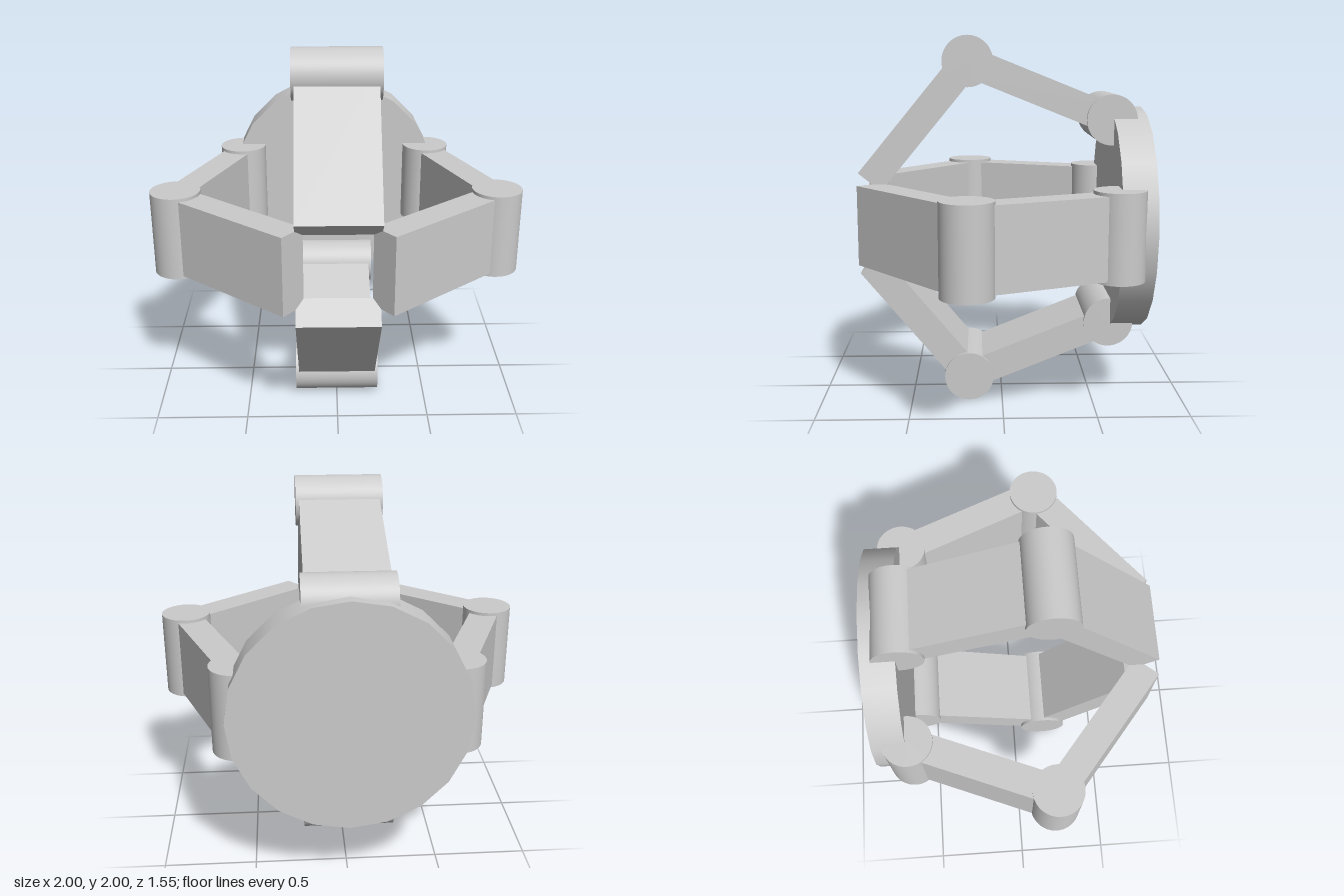
import * as THREE from 'three';

const material = new THREE.MeshStandardMaterial({ color: 0xcccccc });

function addMesh(parent, name, geometry) {
  const mesh = new THREE.Mesh(geometry, material);
  mesh.name = name;
  parent.add(mesh);
  return mesh;
}

// Hinge pin lying along x
function addJoint(parent, name, point) {
  const joint = addMesh(parent, name, new THREE.CylinderGeometry(0.135, 0.135, 0.465, 48));
  joint.rotation.z = Math.PI / 2;
  joint.position.copy(point);
}

// Flat bar between two points in the yz plane
function addLink(parent, name, from, to) {
  const link = addMesh(parent, name, new THREE.BoxGeometry(0.43, 0.157, from.distanceTo(to)));
  link.position.copy(from).lerp(to, 0.5);
  link.rotation.x = -Math.atan2(to.y - from.y, to.z - from.z);
}

// One finger, pointing up from the hub axis
function createFinger() {
  const finger = new THREE.Group();
  const base = new THREE.Vector3(0, 0.557, -0.585);
  const knuckle = new THREE.Vector3(0, 0.865, 0.183);
  const tip = new THREE.Vector3(0, 0.225, 0.711);
  addJoint(finger, 'baseJoint', base);
  addLink(finger, 'rearLink', base, knuckle);
  addJoint(finger, 'knuckleJoint', knuckle);
  addLink(finger, 'frontLink', knuckle, tip);
  return finger;
}

export function createModel() {
  const model = new THREE.Group();
  model.name = 'gripper';

  // Round back plate
  const plate = addMesh(model, 'backPlate', new THREE.CylinderGeometry(0.615, 0.615, 0.18, 20));
  plate.rotation.x = Math.PI / 2;
  plate.position.set(0, 1, -0.685);

  // Four fingers around the plate
  ['topFinger', 'leftFinger', 'bottomFinger', 'rightFinger'].forEach((name, i) => {
    const finger = createFinger();
    finger.name = name;
    finger.position.y = 1;
    finger.rotation.z = -i * Math.PI / 2;
    model.add(finger);
  });

  return model;
}
